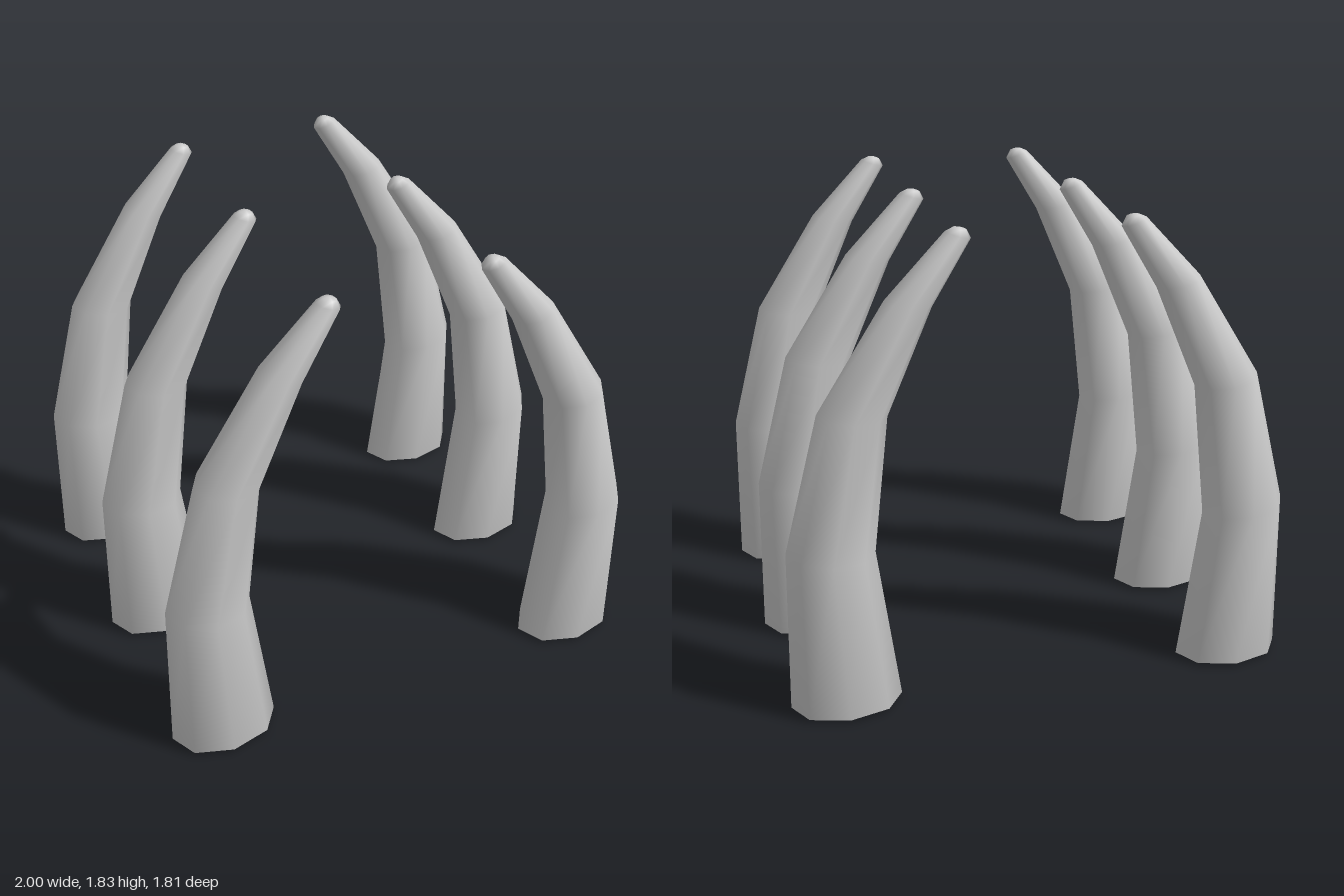
import * as THREE from 'three';

// Cross-sections from base to tip: centre x, y, z, radius x, radius z, rise of the outer edge
const SECTIONS = [
  [0.785, 0.0, 0, 0, 0, 0],
  [0.785, 0.012, 0, 0.215, 0.155, 0],
  [0.828, 0.635, -0.004, 0.168, 0.148, 0.015],
  [0.735, 1.165, -0.011, 0.13, 0.125, 0.015],
  [0.523, 1.567, -0.016, 0.087, 0.092, 0.018],
  [0.338, 1.805, -0.014, 0.048, 0.046, 0.015],
  [0.332, 1.827, -0.014, 0.026, 0.03, 0.005],
  [0.332, 1.833, -0.014, 0, 0, 0],
];
const SIDES = 8;

// One eight-sided, smooth-shaded tusk, closed at both ends
function tuskGeometry() {
  const positions = [];
  const index = [];
  const starts = [];
  for (const [cx, y, cz, rx, rz, rise] of SECTIONS) {
    starts.push(positions.length / 3);
    const count = rx === 0 ? 1 : SIDES;
    for (let i = 0; i < count; i++) {
      const a = (i / SIDES) * Math.PI * 2;
      const dz = Math.sin(a) * rz;
      positions.push(cx + Math.cos(a) * rx - 0.1 * dz, y + Math.cos(a) * rise, cz + dz);
    }
  }
  const last = SECTIONS.length - 1;
  for (let s = 0; s < last; s++) {
    const lo = starts[s];
    const hi = starts[s + 1];
    for (let i = 0; i < SIDES; i++) {
      const j = (i + 1) % SIDES;
      if (s === 0) index.push(lo, hi + i, hi + j);
      else if (s === last - 1) index.push(lo + i, hi, lo + j);
      else index.push(lo + i, hi + i, lo + j, lo + j, hi + i, hi + j);
    }
  }
  const geometry = new THREE.BufferGeometry();
  geometry.setAttribute('position', new THREE.Float32BufferAttribute(positions, 3));
  geometry.setIndex(index);
  geometry.computeVertexNormals();
  return geometry;
}

export function createModel() {
  const model = new THREE.Group();
  model.name = 'tusks';
  const geometry = tuskGeometry();
  const material = new THREE.MeshStandardMaterial({ color: 0xcccccc });

  // Three facing pairs; the right tusk is the left one turned half around
  const rows = [['front', 0.741], ['middle', -0.029], ['back', -0.748]];
  for (const [row, z] of rows) {
    for (const side of ['Left', 'Right']) {
      const tusk = new THREE.Mesh(geometry, material);
      tusk.name = row + side + 'Tusk';
      tusk.position.z = z + (side === 'Left' ? -0.004 : 0.004);
      if (side === 'Right') tusk.rotation.y = Math.PI;
      model.add(tusk);
    }
  }
  return model;
}
